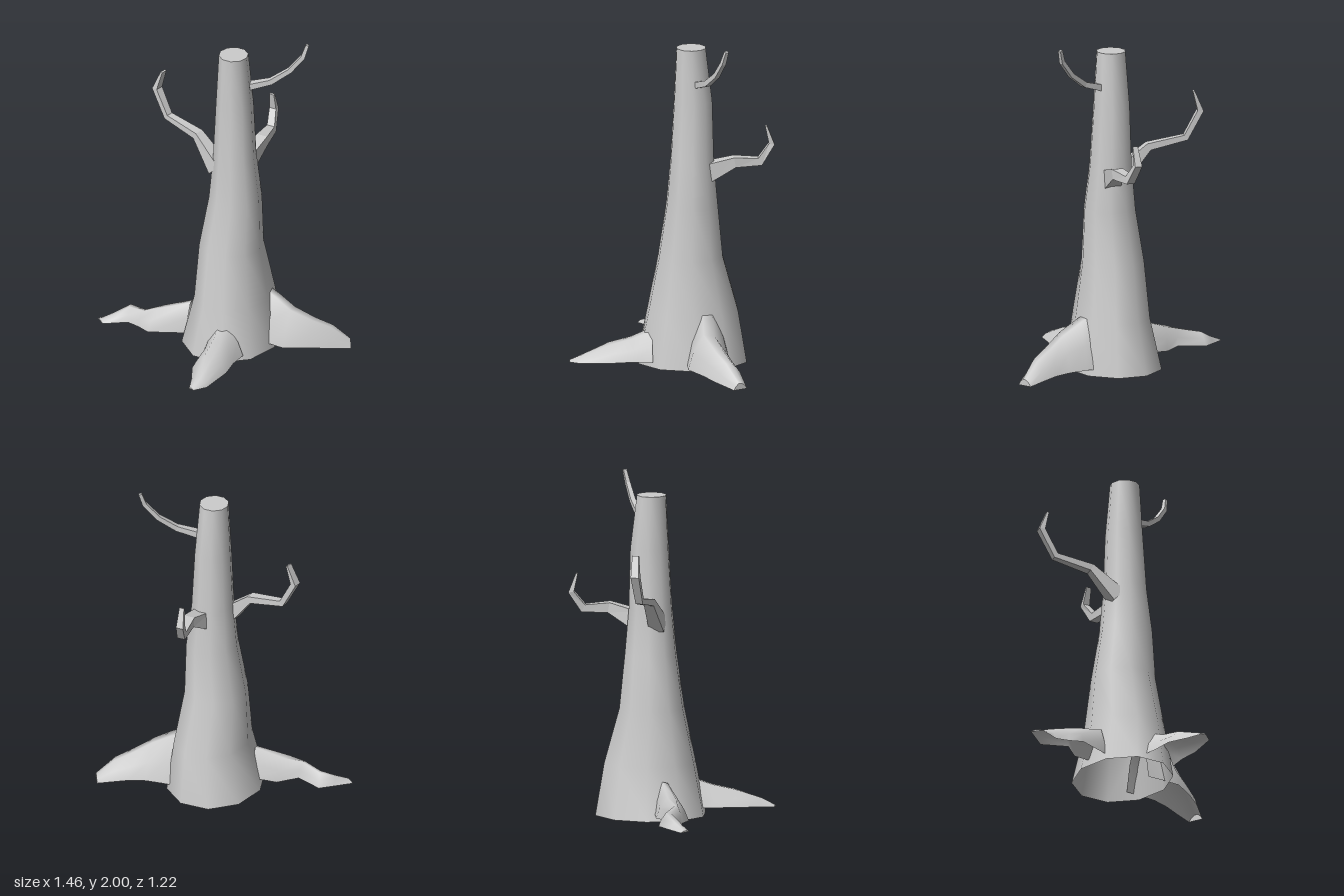
import * as THREE from 'three';

const smooth = new THREE.MeshStandardMaterial({ color: 0xcccccc, side: THREE.DoubleSide });
const faceted = new THREE.MeshStandardMaterial({ color: 0xcccccc, side: THREE.DoubleSide, flatShading: true });

// Skin a list of rings (arrays of Vector3); the last ring gets a flat cap.
function loft(rings, closed) {
  const n = rings[0].length, pos = [], idx = [];
  rings.forEach(r => r.forEach(p => pos.push(p.x, p.y, p.z)));
  for (let i = 0; i < rings.length - 1; i++) {
    for (let j = 0; j < (closed ? n : n - 1); j++) {
      const k = (j + 1) % n, a = i * n + j, b = i * n + k;
      idx.push(a, a + n, b + n, a, b + n, b);
    }
  }
  const cap = pos.length / 3;
  rings[rings.length - 1].forEach(p => pos.push(p.x, p.y, p.z));
  for (let j = 1; j < n - 1; j++) idx.push(cap, cap + j + 1, cap + j);
  const g = new THREE.BufferGeometry();
  g.setAttribute('position', new THREE.Float32BufferAttribute(pos, 3));
  g.setIndex(idx);
  g.computeVertexNormals();
  return g;
}

// Leaning trunk, open below: each row is y, xMin, xMax, zMin, zMax.
function trunk() {
  const rows = [
    [0.01, -0.24, 0.33, -0.44, 0.2],
    [0.32, -0.165, 0.285, -0.39, 0.14],
    [0.65, -0.145, 0.235, -0.3, 0.075],
    [0.97, -0.09, 0.225, -0.27, 0.03],
    [1.24, -0.065, 0.19, -0.247, 0.005],
    [1.6, -0.05, 0.168, -0.238, -0.015],
    [1.92, -0.03, 0.145, -0.2, -0.03],
  ];
  return loft(rows.map(([y, x0, x1, z0, z1]) => Array.from({ length: 10 }, (_, j) => {
    const a = j / 10 * Math.PI * 2;
    return new THREE.Vector3(
      (x0 + x1) / 2 + Math.cos(a) * (x1 - x0) / 2, y,
      (z0 + z1) / 2 + Math.sin(a) * (z1 - z0) / 2 / 0.951);
  })), true);
}

// Arched root, open below: each row is left x, left z, right x, right z, top y, bottom y.
const arch = [[0, 0], [0.12, 0.5], [0.36, 1], [0.6, 0.97], [0.86, 0.5], [1, 0]];
function root(rows) {
  return loft(rows.map(([lx, lz, rx, rz, top, bottom]) => arch.map(([t, h]) =>
    new THREE.Vector3(lx + (rx - lx) * t, bottom + (top - bottom) * h, lz + (rz - lz) * t))), false);
}

// Four-sided bent branch: each row is x, y, z, half width, half thickness.
function branch(rows) {
  const pts = rows.map(r => new THREE.Vector3(r[0], r[1], r[2]));
  const side = pts[2].clone().sub(pts[0]);
  side.set(-side.z, 0, side.x).normalize();
  return loft(rows.map((r, i) => {
    const along = new THREE.Vector3();
    if (i > 0) along.add(pts[i].clone().sub(pts[i - 1]).normalize());
    if (i < pts.length - 1) along.add(pts[i + 1].clone().sub(pts[i]).normalize());
    const up = side.clone().cross(along).normalize();
    return [[1, -1], [1, 1], [-1, 1], [-1, -1]].map(([s, u]) =>
      pts[i].clone().addScaledVector(side, s * r[3]).addScaledVector(up, u * r[4]));
  }), true);
}

export function createModel() {
  const group = new THREE.Group();
  const add = (name, geometry, material) => {
    const mesh = new THREE.Mesh(geometry, material);
    mesh.name = name;
    group.add(mesh);
  };

  add('trunk', trunk(), smooth);

  // Roots spreading from the base
  add('frontRoot', root([
    [0.0, 0.12, 0.25, 0.12, 0.22, 0.05],
    [0.04, 0.25, 0.245, 0.23, 0.175, 0.05],
    [0.055, 0.39, 0.262, 0.35, 0.145, 0.05],
    [0.115, 0.51, 0.24, 0.55, 0.085, 0.045],
    [0.15, 0.605, 0.185, 0.61, 0.05, 0.04],
  ]), smooth);
  add('leftRoot', root([
    [0.2, -0.08, 0.2, -0.33, 0.37, 0.05],
    [0.3, -0.08, 0.29, -0.335, 0.325, 0.05],
    [0.41, -0.08, 0.4, -0.34, 0.255, 0.045],
    [0.53, -0.16, 0.5, -0.37, 0.185, 0.04],
    [0.63, -0.235, 0.59, -0.4, 0.135, 0.025],
    [0.725, -0.335, 0.68, -0.415, 0.04, 0.002],
  ]), smooth);
  add('rightRoot', root([
    [-0.17, -0.08, -0.17, 0.05, 0.24, 0.055],
    [-0.32, -0.06, -0.38, 0.14, 0.18, 0.05],
    [-0.42, 0.035, -0.46, 0.11, 0.15, 0.05],
    [-0.575, -0.025, -0.54, 0.095, 0.13, 0.05],
    [-0.65, 0.045, -0.61, 0.135, 0.085, 0.045],
    [-0.73, 0.12, -0.67, 0.165, 0.05, 0.04],
  ]), smooth);

  // Bare branches
  add('rightBranch', branch([
    [-0.02, 1.155, -0.07, 0.045, 0.05],
    [-0.18, 1.32, -0.11, 0.03, 0.022],
    [-0.4, 1.365, -0.15, 0.022, 0.018],
    [-0.485, 1.525, -0.168, 0.025, 0.018],
    [-0.443, 1.645, -0.17, 0.02, 0.006],
  ]), faceted);
  add('backBranch', branch([
    [0.09, 1.17, -0.215, 0.05, 0.055],
    [0.112, 1.235, -0.37, 0.035, 0.03],
    [0.092, 1.23, -0.52, 0.025, 0.024],
    [0.07, 1.33, -0.59, 0.022, 0.017],
    [0.075, 1.44, -0.557, 0.015, 0.006],
  ]), faceted);
  add('topBranch', branch([
    [0.13, 1.71, -0.15, 0.025, 0.02],
    [0.26, 1.752, -0.2, 0.018, 0.016],
    [0.36, 1.828, -0.25, 0.015, 0.014],
    [0.43, 1.92, -0.285, 0.013, 0.013],
    [0.45, 1.997, -0.305, 0.01, 0.01],
  ]), faceted);

  return group;
}
